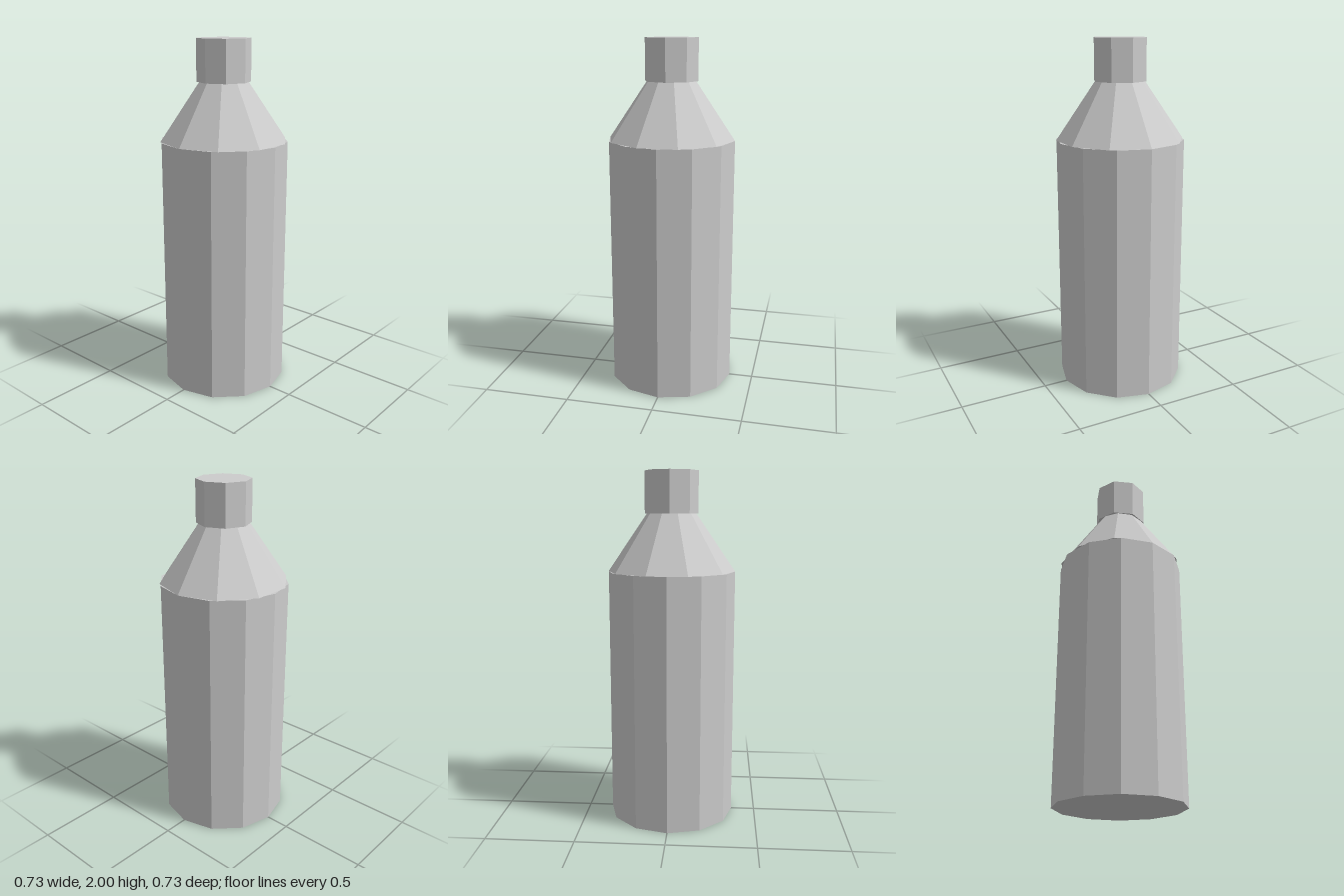
import * as THREE from 'three';

// Low-poly bottle: stacked prisms with differing side counts
export function createModel() {
  const group = new THREE.Group();
  group.name = 'bottle';

  const grey = new THREE.MeshStandardMaterial({ color: 0xcccccc, flatShading: true });
  grey.name = 'light grey';

  const addSection = (name, topRadius, bottomRadius, bottom, top, sides) => {
    const geometry = new THREE.CylinderGeometry(topRadius, bottomRadius, top - bottom, sides);
    const mesh = new THREE.Mesh(geometry, grey);
    mesh.name = name;
    mesh.position.y = (bottom + top) / 2;
    group.add(mesh);
  };

  addSection('body', 0.363, 0.363, 0, 1.44, 12);
  addSection('shoulder', 0.14, 0.363, 1.44, 1.765, 10);
  addSection('cap', 0.152, 0.152, 1.765, 2, 8);

  return group;
}
